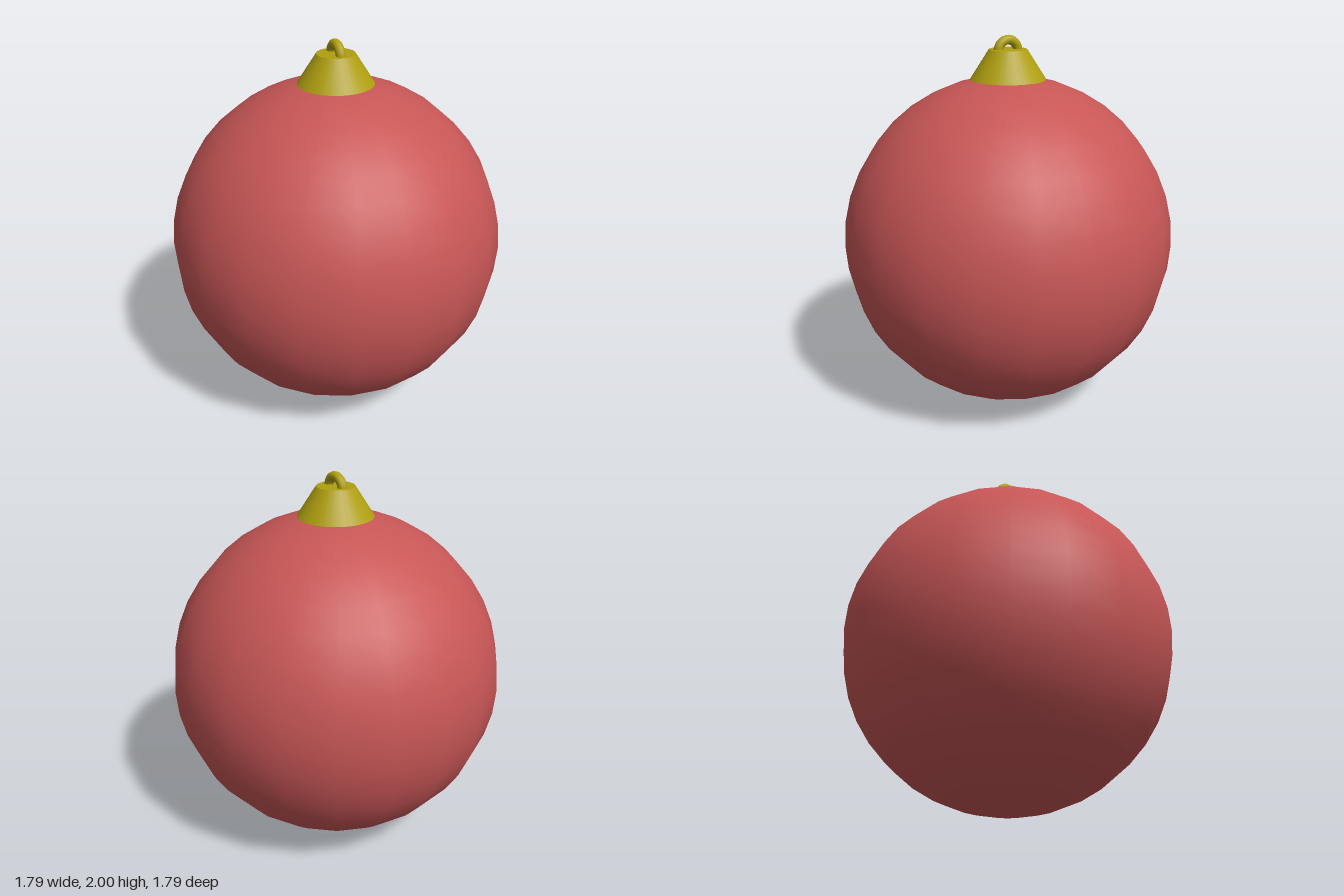
import * as THREE from 'three';

export function createModel() {
  const model = new THREE.Group();
  const red = new THREE.MeshStandardMaterial({ color: 0xc85656 });
  const gold = new THREE.MeshStandardMaterial({ color: 0xb0a010 });

  const add = (name, geometry, material, y) => {
    const mesh = new THREE.Mesh(geometry, material);
    mesh.name = name;
    mesh.position.y = y;
    model.add(mesh);
    return mesh;
  };

  // Round bauble body
  add('bauble', new THREE.SphereGeometry(0.894, 20, 20), red, 0.895);

  // Tapered metal cap
  add('cap', new THREE.CylinderGeometry(0.1, 0.2, 0.155, 32), gold, 1.85);

  // Hanging ring, half sunk into the cap, standing in the y-z plane
  const ring = add('hangingRing', new THREE.TorusGeometry(0.056, 0.025, 12, 32), gold, 1.919);
  ring.rotation.y = Math.PI / 2;

  return model;
}
